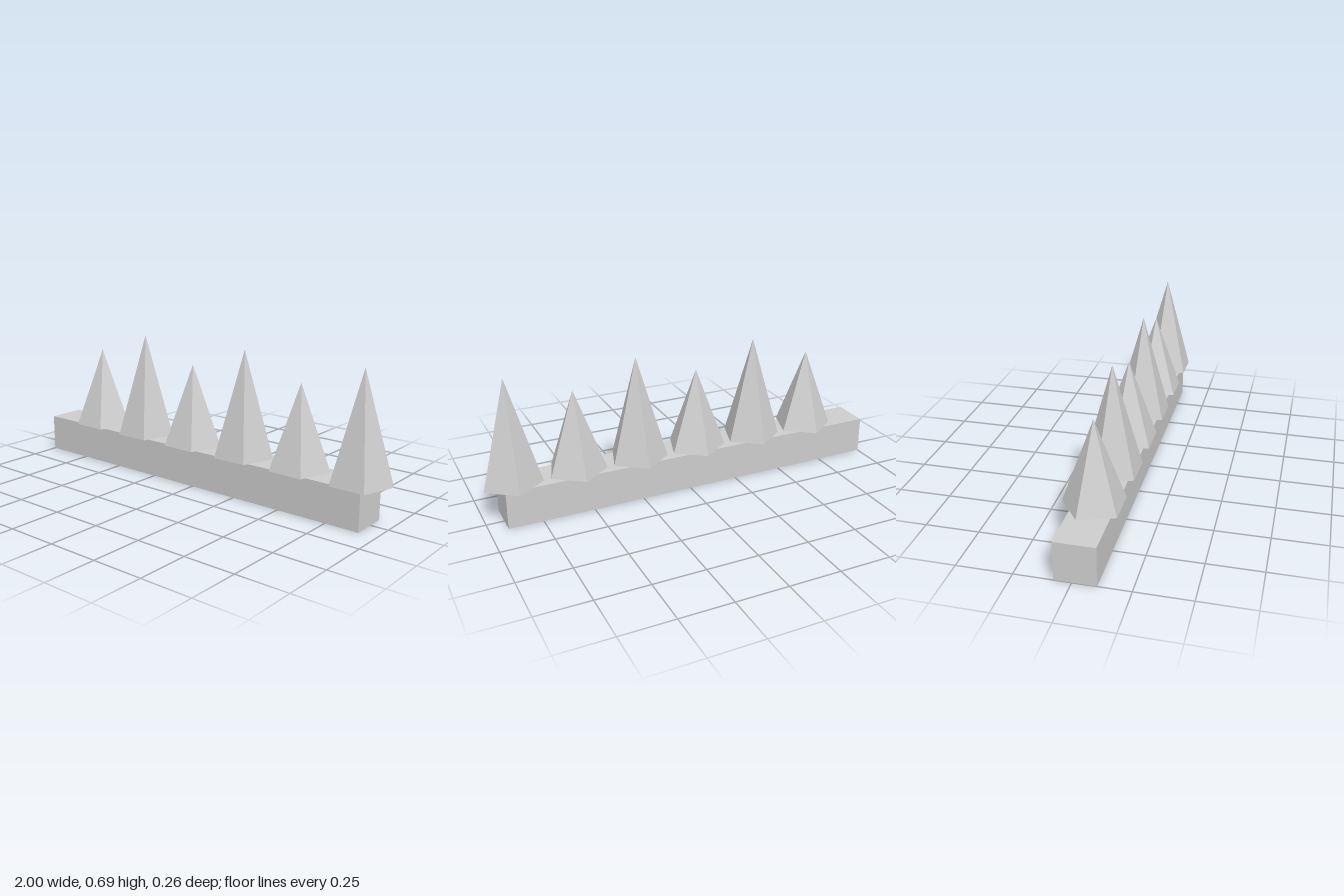
import * as THREE from 'three';

export function createModel() {
  const model = new THREE.Group();
  model.name = 'spikedRail';
  const stone = new THREE.MeshStandardMaterial({ color: 0xcccccc });
  stone.name = 'paleGrey';
  stone.flatShading = true;

  const railSize = 0.183;
  const centreZ = 0.0145;

  // Square rail along x
  const rail = new THREE.Mesh(new THREE.BoxGeometry(1.915, railSize, railSize), stone);
  rail.name = 'rail';
  rail.position.set(-0.0425, railSize / 2, centreZ);
  model.add(rail);

  // Five-sided spikes, short and tall in turn, flat side to the front
  const spikes = new THREE.Group();
  spikes.name = 'spikes';
  for (let i = 0; i < 6; i++) {
    const tall = i % 2 === 1;
    const height = tall ? 0.508 : 0.398;
    const geometry = new THREE.ConeGeometry(0.145, height, 5);
    geometry.rotateY(Math.PI);
    const spike = new THREE.Mesh(geometry, stone);
    spike.name = tall ? 'tallSpike' : 'shortSpike';
    spike.position.set(-0.69 + i * 0.3104, railSize + height / 2, centreZ);
    spikes.add(spike);
  }
  model.add(spikes);

  return model;
}
